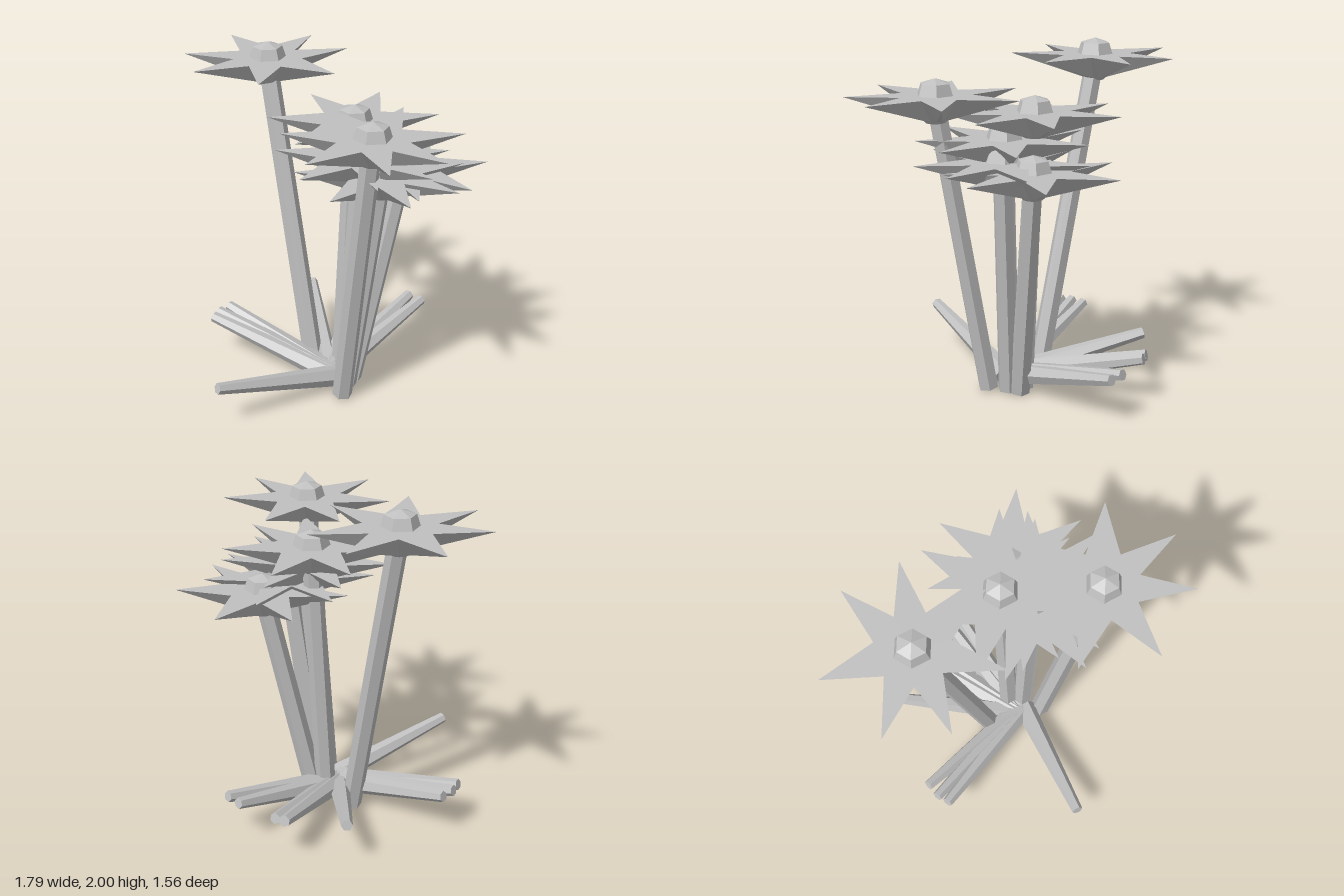
import * as THREE from 'three';

const grey = new THREE.MeshStandardMaterial({ color: 0xc0c0c0, flatShading: true });
grey.name = 'plain grey';

const UP = new THREE.Vector3(0, 1, 0);

// Six-sided rod between two points
function rod(name, from, to, rFrom, rTo) {
  const a = new THREE.Vector3(...from), b = new THREE.Vector3(...to);
  const dir = b.clone().sub(a);
  const mesh = new THREE.Mesh(new THREE.CylinderGeometry(rTo, rFrom, dir.length(), 6), grey);
  mesh.position.copy(a).add(b).multiplyScalar(0.5);
  mesh.quaternion.setFromUnitVectors(UP, dir.normalize());
  mesh.name = name;
  return mesh;
}

// Pointed petals with a flat top, tapering below to a small ring
function starGeometry(degrees) {
  const outline = [];
  degrees.forEach((d, i) => {
    const next = i + 1 < degrees.length ? degrees[i + 1] : degrees[0] + 360;
    outline.push([d, 0.49], [(d + next) / 2, 0.2]);
  });
  const ring = (y, radius) => outline.map(([d, r]) => {
    const t = THREE.MathUtils.degToRad(d), k = radius ?? r;
    return [k * Math.cos(t), y, k * Math.sin(t)];
  });
  const rings = [ring(0), ring(-0.135, 0.07), ring(-0.15, 0.055)];
  const n = outline.length, pos = [];
  const tri = (...pts) => pts.forEach((p) => pos.push(...p));
  for (let i = 0; i < n; i++) {
    const j = (i + 1) % n;
    tri([0, 0, 0], rings[0][j], rings[0][i]);
    for (let k = 0; k < 2; k++) {
      const o = rings[k], b = rings[k + 1];
      tri(o[i], o[j], b[i]);
      tri(o[j], b[j], b[i]);
    }
    tri([0, -0.15, 0], rings[2][i], rings[2][j]);
  }
  const g = new THREE.BufferGeometry();
  g.setAttribute('position', new THREE.Float32BufferAttribute(pos, 3));
  g.computeVertexNormals();
  return g;
}

// Faceted flower centre
const domeGeometry = new THREE.LatheGeometry(
  [[0.107, -0.005], [0.085, 0.063], [0, 0.09]].map(([x, y]) => new THREE.Vector2(x, y)), 6);

const petals = [-89, -29, 21.6, 61, 113, 166, 221];
const tallPetals = [-141, -81, -41, 17, 72, 124, 165];

// Flower: head [x, rim height, z], foot [x, z], petal angles, turn
const flowers = [
  { head: [-0.425, 1.91, -0.3], foot: [-0.05, -0.09], angles: tallPetals, turn: 0 },
  { head: [0.435, 1.765, 0.32], foot: [0.21, 0.118], angles: petals, turn: 0 },
  { head: [0.165, 1.66, -0.15], foot: [0.13, -0.07], angles: petals, turn: -3 },
  { head: [0.265, 1.52, -0.01], foot: [0.17, 0.0], angles: petals, turn: 0 },
  { head: [0.37, 1.42, -0.04], foot: [0.195, 0.0], angles: petals, turn: -8 },
  { head: [0.43, 1.39, -0.24], foot: [0.2, -0.075], angles: petals, turn: 1 },
];

// Leaf: tip [x, z], root [x, z]
const leaves = [
  [[-0.325, 0.7], [0.14, 0.04]],
  [[-0.7, -0.012], [0.13, 0.04]],
  [[-0.7, -0.085], [0.12, 0.02]],
  [[-0.67, -0.17], [0.1, 0.01]],
  [[-0.3, -0.67], [0.08, 0.0]],
  [[0.03, -0.78], [0.08, 0.01]],
  [[0.088, -0.78], [0.1, 0.01]],
  [[0.35, -0.735], [0.08, 0.01]],
  [[0.44, -0.7], [0.11, 0.01]],
];

export function createModel() {
  const model = new THREE.Group();
  model.name = 'flowerCluster';

  for (const { head, foot, angles, turn } of flowers) {
    const flower = new THREE.Group();
    flower.name = 'flower';
    const [x, y, z] = head;
    flower.add(rod('stem', [foot[0], 0.013, foot[1]], [x, y - 0.03, z], 0.06, 0.056));
    const star = new THREE.Mesh(starGeometry(angles.map((a) => a + turn)), grey);
    star.name = 'petals';
    const dome = new THREE.Mesh(domeGeometry, grey);
    dome.name = 'flowerCentre';
    for (const part of [star, dome]) {
      part.position.set(x, y, z);
      flower.add(part);
    }
    model.add(flower);
  }

  for (const [tip, root] of leaves) {
    model.add(rod('leaf', [root[0], 0.075, root[1]], [tip[0], 0.275, tip[1]], 0.066, 0.033));
  }
  return model;
}
